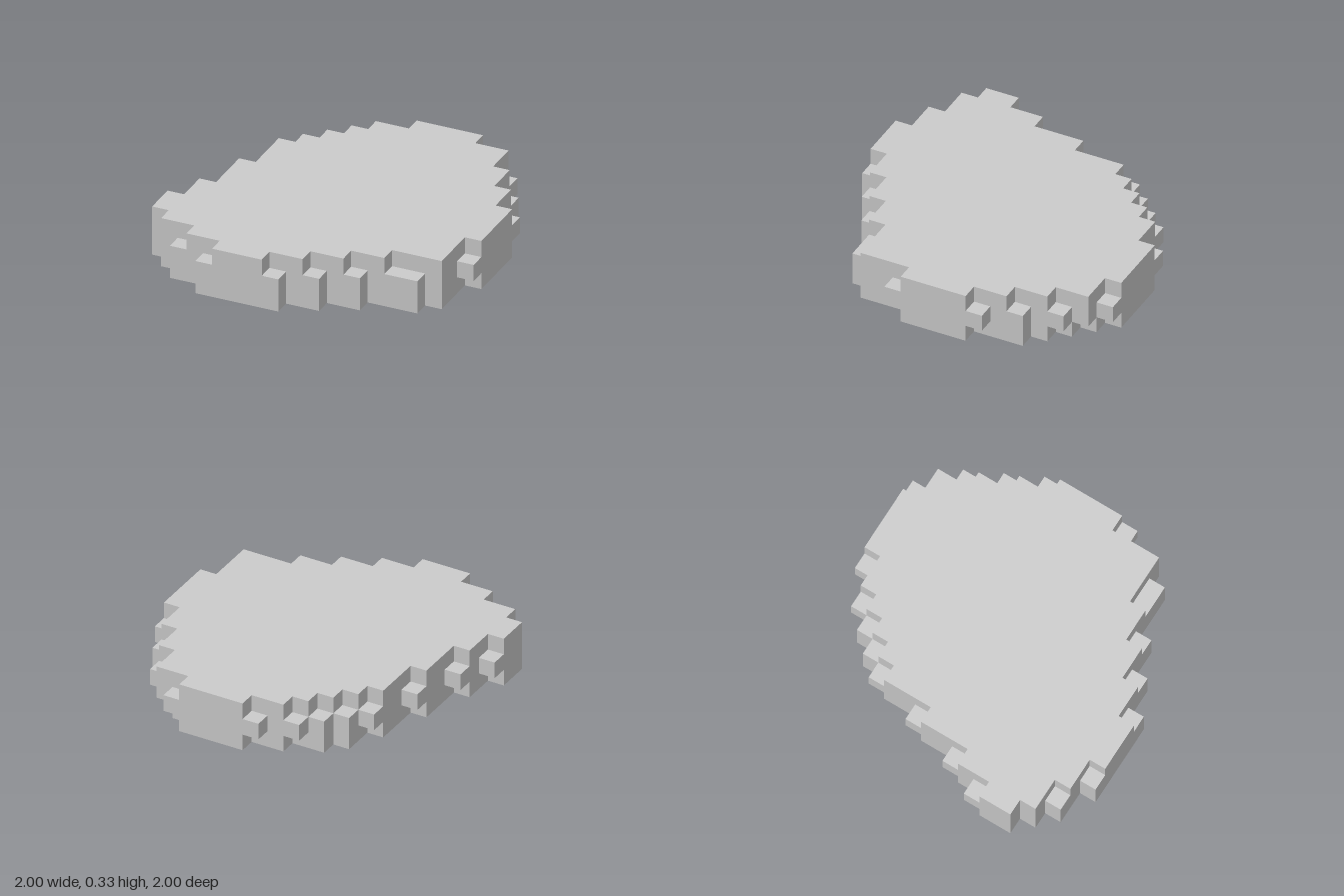
import * as THREE from 'three';

const CELL = 1 / 9; // 18 x 18 cells in plan, 3 layers high

// First and last cell edge of each row, back to front, at the widest layer
const LEFT = [8, 6, 5, 4, 3, 3, 3, 2, 2, 2, 1, 1, 0, 0, 0, 1, 2, 4];
const RIGHT = [14, 15, 16, 16, 17, 17, 18, 18, 18, 18, 18, 18, 17, 17, 16, 13, 11, 9];

// Cells cut from the row ends, as row: count
const LAYERS = [
  {
    name: 'bottomLayer',
    left: { 0: 1, 1: 1, 4: 1, 7: 1, 10: 1, 12: 1 },
    right: { 0: 1, 1: 1, 2: 1, 6: 1, 11: 1 },
  },
  { name: 'middleLayer', left: {}, right: {} },
  {
    name: 'topLayer',
    left: { 0: 1, 1: 1, 2: 1, 3: 1, 4: 1, 7: 1, 10: 1, 12: 1, 16: 1, 17: 1 },
    right: { 0: 1, 2: 1, 4: 1, 6: 1, 11: 1, 14: 2, 15: 1, 16: 1, 17: 1 },
  },
];

// Stepped outline of one layer, extruded one cell upward
function layerGeometry({ left, right }) {
  const leftSide = [];
  const rightSide = [];
  for (let row = 0; row < LEFT.length; row++) {
    const l = LEFT[row] + (left[row] || 0);
    const r = RIGHT[row] - (right[row] || 0);
    leftSide.push([l, row], [l, row + 1]);
    rightSide.push([r, row], [r, row + 1]);
  }
  const loop = [...leftSide, ...rightSide.reverse()];
  // Keep only the true corners
  const corners = loop.filter(([x, z], i) => {
    const [px, pz] = loop[(i + loop.length - 1) % loop.length];
    const [nx, nz] = loop[(i + 1) % loop.length];
    return !(px === x && nx === x) && !(pz === z && nz === z);
  });
  const shape = new THREE.Shape(
    corners.map(([x, z]) => new THREE.Vector2(x * CELL - 1, 1 - z * CELL))
  );
  const geometry = new THREE.ExtrudeGeometry(shape, { depth: CELL, bevelEnabled: false });
  return geometry.rotateX(-Math.PI / 2);
}

export function createModel() {
  const model = new THREE.Group();
  model.name = 'blockySlab';
  const material = new THREE.MeshStandardMaterial({ color: 0xcccccc, flatShading: true });
  LAYERS.forEach((layer, i) => {
    const mesh = new THREE.Mesh(layerGeometry(layer), material);
    mesh.name = layer.name;
    mesh.position.y = i * CELL;
    model.add(mesh);
  });
  return model;
}
